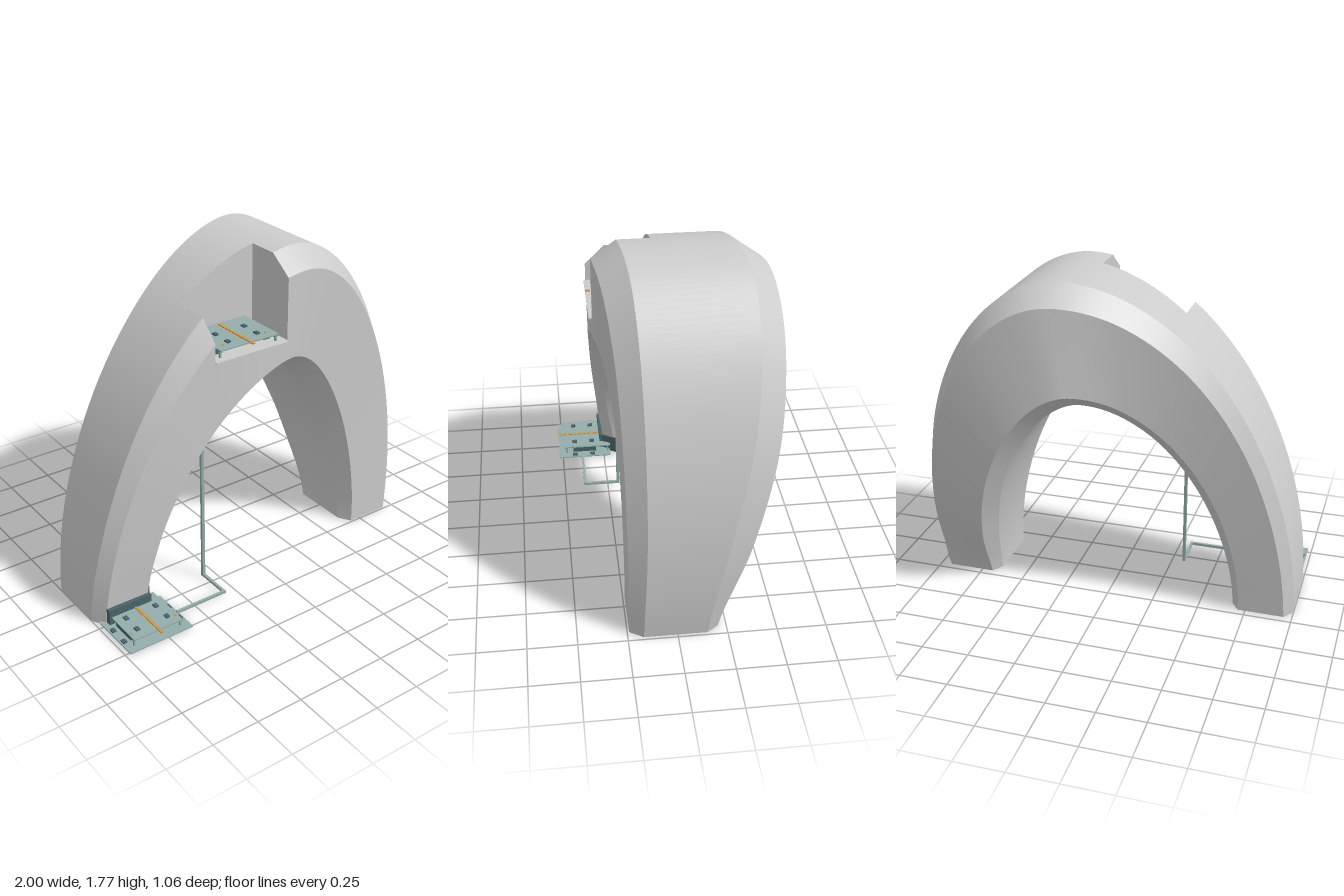
import * as THREE from 'three';

const GREY = 0xcccccc, TEAL = 0x93aeaa, DARK = 0x48646a, ORANGE = 0xd8943a;
const mat = (color, side = THREE.FrontSide) => new THREE.MeshStandardMaterial({ color, side });
const greyMat = mat(GREY), wallMat = mat(GREY, THREE.DoubleSide);
const tealMat = mat(TEAL), darkMat = mat(DARK), orangeMat = mat(ORANGE);

// Depth values spread evenly along the arch, from the right foot to the left foot
const track = (values) => {
  const c = new THREE.SplineCurve(values.map((v, i) => new THREE.Vector2(i, v)));
  return (s) => c.getPoint(s).y;
};
const faceFront = track([.24, .28, .315, .335, .345, .325, .29, .26, .245, .24, .24]);
const faceBack = track([-.21, -.225, -.25, -.31, -.4, -.5, -.535, -.535, -.49, -.37, -.21]);
const edgeFront = track([.17, .22, .24, .24, .225, .195, .165, .15, .145, .15, .17]);
const edgeBack = track([-.15, -.17, -.195, -.235, -.3, -.37, -.41, -.41, -.36, -.25, -.15]);

// Lopsided arch curve: superellipse quarter on each side of the apex
function quarter(cx, cy, a, b, n, angle) {
  const c = Math.max(0, Math.cos(angle)), s = Math.sin(angle);
  return new THREE.Vector2(cx + a * c ** (2 / n), cy + b * Math.sign(s) * Math.abs(s) ** (2 / n));
}
function outer(s) {
  if (s <= .5) return quarter(.22, 0, -1.22, 1.775, 1.85, s * Math.PI);
  const end = -Math.asin(.3 / 1.475);
  return quarter(.22, .3, .78, 1.475, 2, THREE.MathUtils.mapLinear(s, .5, 1, Math.PI / 2, end));
}
function inner(s) {
  if (s <= .5) return quarter(.13, 0, -.8, 1.145, 1.75, s * Math.PI);
  return quarter(.13, 0, .52, 1.145, 1.8, (1 - s) * Math.PI);
}

// Eight-cornered cross-section with chamfers front and back
function ring(s) {
  const o = outer(s), i = inner(s), dir = i.clone().sub(o).normalize();
  const swell = Math.sin(Math.PI * s);
  const oc = o.clone().addScaledVector(dir, .045 + .05 * swell);
  const ic = i.clone().addScaledVector(dir, -.04 - .045 * swell);
  const eF = edgeFront(s), eB = edgeBack(s), fF = faceFront(s), fB = faceBack(s);
  return [[o, eF], [o, eB], [oc, fB], [ic, fB], [i, eB], [i, eF], [ic, fF], [oc, fF]]
    .map(([p, z]) => new THREE.Vector3(p.x, p.y, z));
}

// Recess cut in the upper front of the arch
const NOTCH = { x0: -.335, x1: .105, y: 1.335, z: .04 };
const planes = [
  (p) => NOTCH.x0 - p.x, (p) => p.x - NOTCH.x1, (p) => NOTCH.y - p.y, (p) => NOTCH.z - p.z,
];

// Split a polygon by a signed distance, keeping the positive side
function clip(poly, dist) {
  const out = [];
  poly.forEach((a, i) => {
    const b = poly[(i + 1) % poly.length], da = dist(a.p), db = dist(b.p);
    if (da >= 0) out.push(a);
    if (da * db < 0) {
      const t = da / (da - db);
      out.push({ p: a.p.clone().lerp(b.p, t), n: a.n.clone().lerp(b.n, t).normalize() });
    }
  });
  return out;
}

function archGeometry(segments = 110) {
  const rings = Array.from({ length: segments + 1 }, (_, i) => ring(i / segments));
  const pos = [], nor = [];
  const emit = (poly) => {
    for (let i = 1; i < poly.length - 1; i++) {
      for (const v of [poly[0], poly[i], poly[i + 1]]) {
        pos.push(...v.p.toArray());
        nor.push(...v.n.toArray());
      }
    }
  };
  for (let k = 0; k < 8; k++) {
    // One smooth strip per side of the cross-section
    const strip = new THREE.BufferGeometry().setFromPoints(rings.flatMap((r) => [r[k], r[(k + 1) % 8]]));
    const index = [];
    for (let i = 0; i < segments; i++) {
      const a = 2 * i;
      index.push(a, a + 2, a + 1, a + 2, a + 3, a + 1);
    }
    strip.setIndex(index);
    strip.computeVertexNormals();
    const vertex = (i) => ({
      p: new THREE.Vector3().fromBufferAttribute(strip.attributes.position, i),
      n: new THREE.Vector3().fromBufferAttribute(strip.attributes.normal, i),
    });
    for (let t = 0; t < index.length; t += 3) {
      let rest = index.slice(t, t + 3).map(vertex);
      for (const d of planes) {
        emit(clip(rest, d));
        rest = clip(rest, (p) => -d(p));
      }
    }
  }
  const g = new THREE.BufferGeometry();
  g.setAttribute('position', new THREE.Float32BufferAttribute(pos, 3));
  g.setAttribute('normal', new THREE.Float32BufferAttribute(nor, 3));
  return g;
}

// Flat convex panel through the given points
function panel(name, points) {
  const g = new THREE.BufferGeometry().setFromPoints(points);
  g.setIndex(points.slice(2).flatMap((_, i) => [0, i + 1, i + 2]));
  g.computeVertexNormals();
  const m = new THREE.Mesh(g, wallMat);
  m.name = name;
  return m;
}

// Point where a corner line of the arch crosses a given x
function crossing(corner, x) {
  let lo = .1, hi = .8;
  for (let i = 0; i < 40; i++) {
    const mid = (lo + hi) / 2;
    if (ring(mid)[corner].x < x) lo = mid; else hi = mid;
  }
  const p = ring(lo)[corner];
  p.x = x;
  return p;
}

function notchWalls() {
  const group = new THREE.Group();
  group.name = 'notchWalls';
  const { x0, x1, y, z } = NOTCH;
  for (const x of [x0, x1]) {
    const top = crossing(0, x), edge = crossing(7, x);
    group.add(panel('notchSide', [
      new THREE.Vector3(x, y, z), new THREE.Vector3(x, top.y, z), top, edge,
      new THREE.Vector3(x, y, edge.z),
    ]));
  }
  const rim = [];
  for (let i = 0; i <= 16; i++) rim.push(crossing(0, x1 + (x0 - x1) * i / 16).setZ(z));
  group.add(panel('notchBack', [new THREE.Vector3(x0, y, z), new THREE.Vector3(x1, y, z), ...rim]));
  return group;
}

function box(name, parent, material, size, at) {
  const m = new THREE.Mesh(new THREE.BoxGeometry(...size), material);
  m.name = name;
  m.position.set(...at);
  parent.add(m);
  return m;
}

// Bolted double plate with a dashed centre strip
function platform(name, at, width, deckWidth, baseMat) {
  const g = new THREE.Group();
  g.name = name;
  g.position.set(...at);
  box('basePlate', g, baseMat, [width, .006, .31], [0, .003, 0]);
  box('deckPlate', g, tealMat, [deckWidth, .007, .28], [0, .045, -.015]);
  for (const side of [-1, 1]) {
    box('spacerBlock', g, darkMat, [.04, .034, .14], [side * (deckWidth / 2 - .03), .023, 0]);
    for (const z of [-.045, .06]) {
      box('deckBolt', g, darkMat, [.022, .01, .028], [side * .088, .052, z]);
      box('baseBolt', g, darkMat, [.022, .01, .028], [side * (width / 2 - .02), .01, z]);
    }
    for (const z of [-.14, .11]) {
      box('post', g, tealMat, [.01, .04, .01], [side * (deckWidth / 2 - .006), .023, z]);
    }
    box('marker', g, orangeMat, [.01, .004, .01], [side * .13, .05, .075]);
  }
  for (let i = 0; i < 10; i++) {
    box('centreDash', g, orangeMat, [.014, .006, .024], [0, .051, -.125 + i * .03]);
  }
  return g;
}

export function createModel() {
  const model = new THREE.Group();
  const arch = new THREE.Mesh(archGeometry(), greyMat);
  arch.name = 'arch';
  model.add(arch, panel('rightFootSole', ring(0)), panel('leftFootSole', ring(1)), notchWalls());

  model.add(platform('upperPlatform', [-.115, NOTCH.y, .195], .44, .35, greyMat));
  model.add(platform('lowerPlatform', [-.795, .008, .365], .37, .285, tealMat));

  // Dark collar around the front of the right foot
  box('collarFront', model, darkMat, [.25, .1, .03], [-.825, .05, .256]);
  const bevel = box('collarBevel', model, darkMat, [.11, .1, .012], [-.682, .05, .213]);
  bevel.rotation.y = 1.05;

  // Thin pipe from the lower platform up to the underside of the arch
  box('pipeAlong', model, tealMat, [.305, .014, .014], [-.465, .017, .382]);
  box('pipeAcross', model, tealMat, [.014, .014, .2], [-.32, .017, .289]);
  box('pipeUpright', model, tealMat, [.016, .87, .016], [-.32, .445, .19]);
  return model;
}
